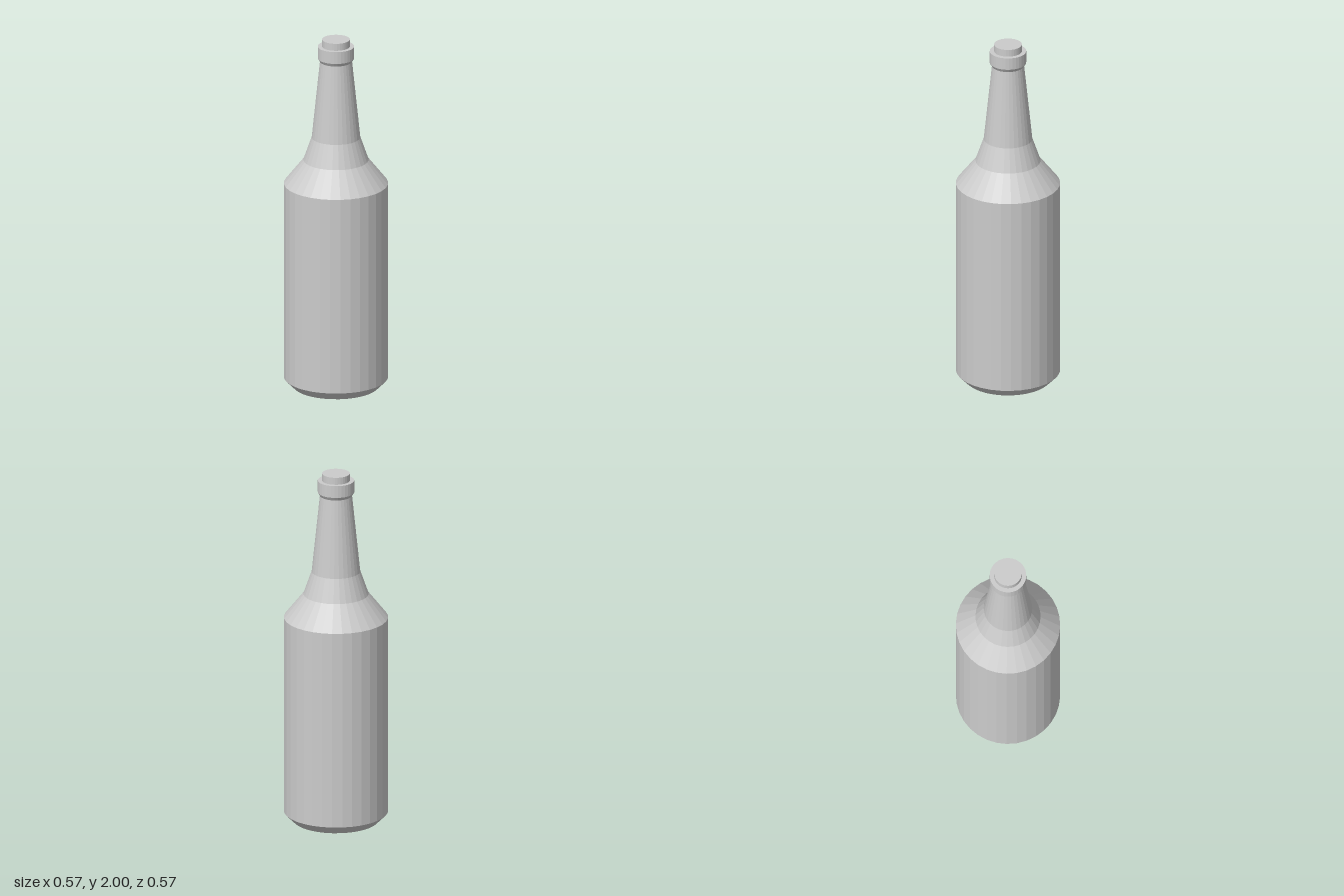
import * as THREE from 'three';

const SIDES = 32;

// Revolve a profile of [radius, height] pairs, listed from bottom to top
function turned(name, profile) {
  const points = profile.map(([r, y]) => new THREE.Vector2(r, y));
  const material = new THREE.MeshStandardMaterial({ color: 0xcccccc, flatShading: true });
  const mesh = new THREE.Mesh(new THREE.LatheGeometry(points, SIDES), material);
  mesh.name = name;
  return mesh;
}

export function createModel() {
  const group = new THREE.Group();
  group.name = 'bottle';

  // Glass: flat base, bevel, straight body, stepped shoulder, neck and lip
  group.add(turned('bottleGlass', [
    [0, 0],
    [0.235, 0],
    [0.285, 0.05],
    [0.285, 1.17],
    [0.178, 1.305],
    [0.133, 1.435],
    [0.088, 1.873],
    [0.1, 1.892],
    [0.1, 1.96],
    [0, 1.96],
  ]));

  // Stopper standing out of the lip
  group.add(turned('stopper', [
    [0.076, 1.95],
    [0.076, 2],
    [0, 2],
  ]));

  return group;
}
